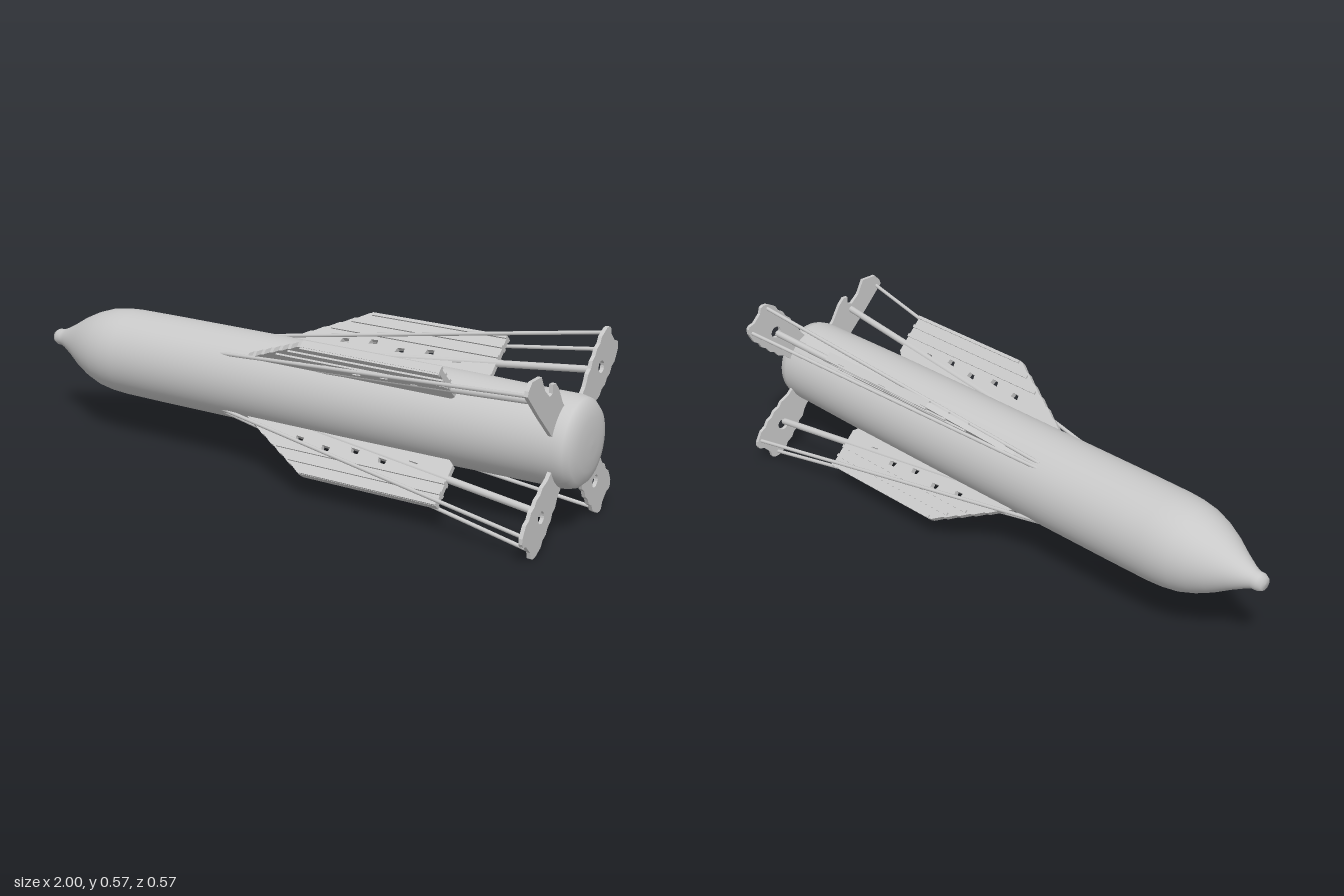
import * as THREE from 'three';

const AXIS_Y = 0.292;
const metal = new THREE.MeshStandardMaterial({ color: 0xc8c8c8 });
metal.name = 'grey metal';

function part(name, geometry) {
  const mesh = new THREE.Mesh(geometry, metal);
  mesh.name = name;
  return mesh;
}

// Straight round bar between two points
function bar(name, from, to, radius) {
  const a = new THREE.Vector3(...from), b = new THREE.Vector3(...to);
  const mesh = part(name, new THREE.CylinderGeometry(radius, radius, a.distanceTo(b), 10));
  mesh.position.copy(a).add(b).multiplyScalar(0.5);
  mesh.quaternion.setFromUnitVectors(new THREE.Vector3(0, 1, 0), b.sub(a).normalize());
  return mesh;
}

// Lathed casing: [radius, x] from the nose to the rounded tail
function createBody() {
  const profile = [
    [0, -1], [0.02, -0.998], [0.027, -0.985], [0.028, -0.965], [0.036, -0.945], [0.06, -0.9],
    [0.09, -0.85], [0.114, -0.8], [0.131, -0.75], [0.139, -0.7], [0.142, -0.65], [0.143, -0.5],
    [0.143, 0.2], [0.141, 0.6], [0.137, 0.88], [0.137, 0.94], [0.131, 0.968], [0.115, 0.985],
    [0.08, 0.995], [0.04, 0.999], [0, 1],
  ].map(([r, x]) => new THREE.Vector2(r, x));
  const body = part('body', new THREE.LatheGeometry(profile, 64).rotateZ(-Math.PI / 2));
  return body;
}

// Long radial blade with a stepped leading edge and small slots
function createBlade() {
  const shape = new THREE.Shape();
  shape.moveTo(-0.14, 0.12);
  shape.lineTo(-0.12, 0.142);
  const steps = 6;
  for (let i = 1; i <= steps; i++) {
    const x = -0.12 + 0.27 * i / steps, r = 0.142 + 0.148 * i / steps;
    shape.lineTo(x - 0.012, r - 0.003);
    shape.lineTo(x, r);
  }
  shape.lineTo(0.62, 0.29);
  shape.lineTo(0.62, 0.155);
  shape.lineTo(0.58, 0.12);
  for (let i = 0; i < 5; i++) {
    const x = 0.08 + i * 0.1, r = 0.17 + (i % 2) * 0.012;
    const slot = new THREE.Path();
    slot.moveTo(x, r);
    slot.lineTo(x + 0.03, r + 0.003);
    slot.lineTo(x + 0.028, r + 0.017);
    slot.lineTo(x + 0.004, r + 0.015);
    shape.holes.push(slot);
  }
  const geometry = new THREE.ExtrudeGeometry(shape, { depth: 0.018, bevelEnabled: false });
  return part('blade', geometry.translate(0, 0, -0.009));
}

// Flat tail plate; x of the outline runs across the plate, y outwards
function createTailPlate(broken) {
  const shape = new THREE.Shape();
  if (broken) {
    shape.setFromPoints([
      [-0.05, 0.1], [-0.057, 0.13], [-0.06, 0.25], [-0.059, 0.35], [-0.045, 0.357], [-0.016, 0.358],
      [0.023, 0.32], [0.008, 0.27], [0.012, 0.231], [0.028, 0.222], [0.046, 0.24],
      [0.058, 0.228], [0.058, 0.2], [0.044, 0.143], [0.045, 0.1],
    ].map(([x, y]) => new THREE.Vector2(x, y)));
  } else {
    const edge = [[0.047, 0.1], [0.048, 0.15]];
    // uneven side edge
    for (let i = 0; i < 9; i++) {
      edge.push([0.053 + 0.011 * Math.min(1, i / 4) + (i % 2 ? 0.005 : -0.001), 0.165 + i * 0.0205]);
    }
    edge.push([0.058, 0.345], [0.047, 0.357], [0.036, 0.36], [0.018, 0.35]);
    const other = edge.map(([x, y]) => [-x, y]).reverse();
    shape.setFromPoints([...edge, ...other].map(([x, y]) => new THREE.Vector2(x, y)));
    const hole = new THREE.Path();
    hole.absellipse(0, 0.248, 0.02, 0.018, 0, Math.PI * 2, true);
    shape.holes.push(hole);
  }
  const geometry = new THREE.ExtrudeGeometry(shape, { depth: 0.012, bevelEnabled: false, curveSegments: 8 });
  return part('tailPlate', geometry.rotateY(Math.PI / 2).translate(0.924, 0, 0));
}

// One fin assembly, built pointing up and then turned around the body
function createFin(broken) {
  const fin = new THREE.Group();
  fin.add(createBlade(), createTailPlate(broken));
  // raised ribs on both faces of the blade
  for (const side of [-1, 1]) {
    for (const [r, start] of [[0.215, 0.03], [0.25, 0.09], [0.284, 0.15]]) {
      const rib = part('bladeRib', new THREE.BoxGeometry(0.62 - start, 0.01, 0.008));
      rib.position.set((0.62 + start) / 2, r, side * 0.011);
      fin.add(rib);
    }
    // stay wires to the outer corners of the plate
    if (!broken || side > 0) {
      fin.add(bar('stayWire', [-0.22, 0.137, side * 0.008], [0.93, 0.335, side * 0.048], 0.006));
    }
  }
  // thicker strut to the middle of the plate
  fin.add(bar('strut', [0.13, 0.138, 0], [0.928, broken ? 0.215 : 0.236, 0], 0.011));
  return fin;
}

export function createModel() {
  const model = new THREE.Group();
  model.name = 'finnedBomb';
  const assembly = new THREE.Group();
  assembly.name = 'bombAssembly';
  assembly.position.y = AXIS_Y;
  assembly.add(createBody());
  const names = ['upperFrontFin', 'lowerFrontFin', 'lowerRearFin', 'upperRearFin'];
  names.forEach((name, i) => {
    const fin = createFin(i === 0);
    fin.name = name;
    fin.rotation.x = Math.PI / 4 + i * Math.PI / 2;
    assembly.add(fin);
  });
  model.add(assembly);
  return model;
}
